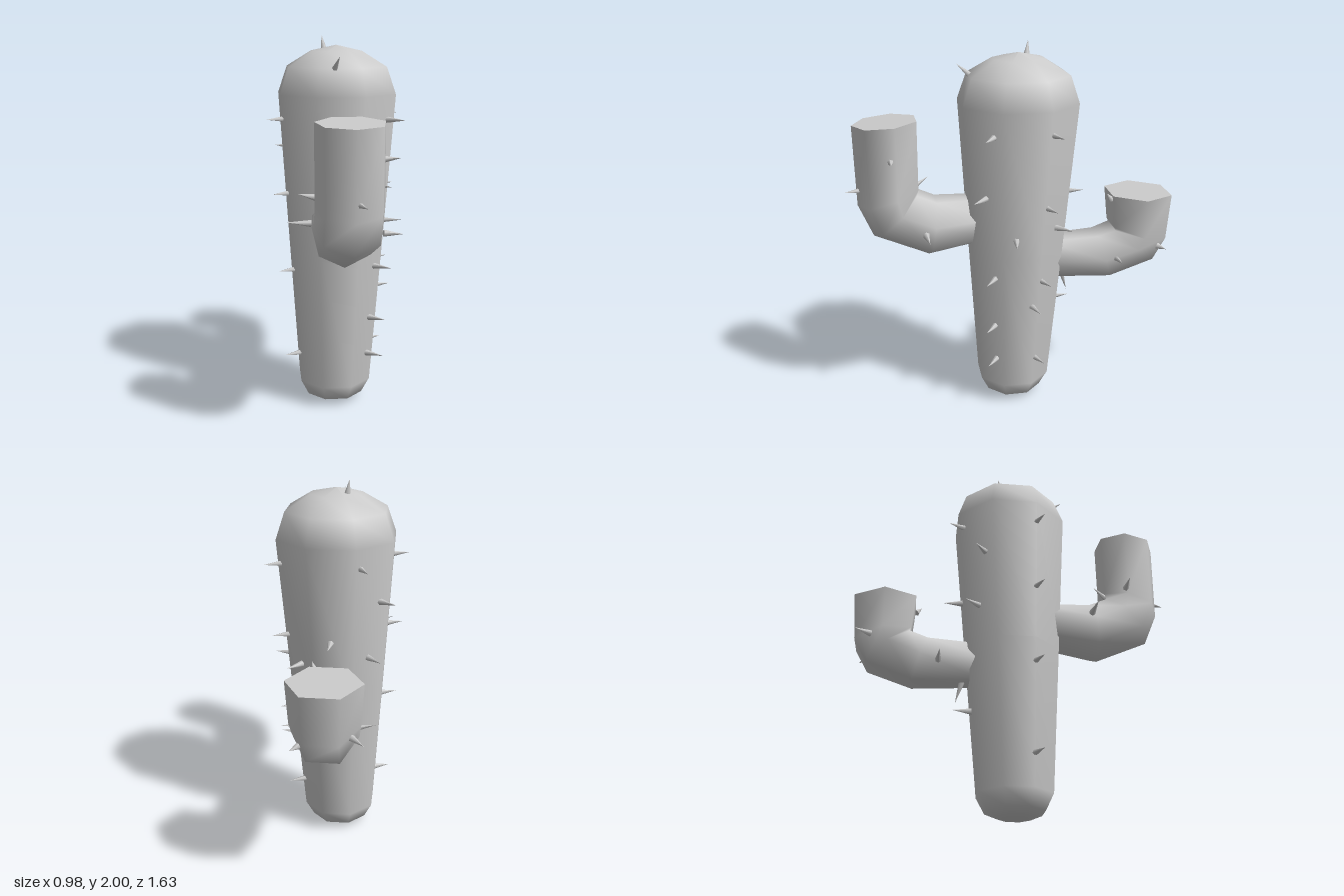
import * as THREE from 'three';

const material = new THREE.MeshStandardMaterial({ color: 0xcccccc });
const UP = new THREE.Vector3(0, 1, 0);

function addMesh(parent, geometry, name) {
  const mesh = new THREE.Mesh(geometry, material);
  mesh.name = name;
  parent.add(mesh);
  return mesh;
}

// Bent arm in a vertical plane; each ring is [distance out, height, tilt in degrees, radius]
function armGeometry(dir, rings, sides, phase) {
  const side = new THREE.Vector3().crossVectors(UP, dir);
  const pos = [], index = [];
  for (const [out, y, tilt, r] of rings) {
    const t = THREE.MathUtils.degToRad(tilt);
    const normal = dir.clone().multiplyScalar(-Math.sin(t)).addScaledVector(UP, Math.cos(t));
    const centre = dir.clone().multiplyScalar(out).addScaledVector(UP, y);
    for (let j = 0; j < sides; j++) {
      const a = phase + (j / sides) * Math.PI * 2;
      const p = centre.clone().addScaledVector(side, r * Math.cos(a)).addScaledVector(normal, r * Math.sin(a));
      pos.push(p.x, p.y, p.z);
    }
  }
  for (let i = 0; i < rings.length - 1; i++) {
    for (let j = 0; j < sides; j++) {
      const a = i * sides + j, b = i * sides + (j + 1) % sides;
      index.push(a, b, b + sides, a, b + sides, a + sides);
    }
  }
  // Flat end cap on its own vertices, so its rim stays sharp
  const first = pos.length / 3;
  pos.push(...pos.slice(-sides * 3));
  for (let j = 1; j < sides - 1; j++) index.push(first, first + j, first + j + 1);
  const g = new THREE.BufferGeometry();
  g.setAttribute('position', new THREE.Float32BufferAttribute(pos, 3));
  g.setIndex(index);
  g.computeVertexNormals();
  return g;
}

const spineGeometry = new THREE.ConeGeometry(0.018, 1, 6).translate(0, 0.5, 0);

function addSpine(parent, base, tip) {
  const dir = tip.clone().sub(base);
  const spine = addMesh(parent, spineGeometry, 'spine');
  spine.position.copy(base);
  spine.scale.y = dir.length();
  spine.quaternion.setFromUnitVectors(UP, dir.normalize());
}

export function createModel() {
  const cactus = new THREE.Group();
  cactus.name = 'cactus';

  // Eight-sided trunk with a domed top, leaning very slightly back
  const profile = [[0, 0], [0.09, 0.005], [0.16, 0.035], [0.205, 0.12], [0.265, 0.9],
    [0.325, 1.7], [0.275, 1.84], [0.14, 1.92], [0, 1.95]];
  const trunkGeometry = new THREE.LatheGeometry(profile.map(([r, y]) => new THREE.Vector2(r, y)), 8);
  const p = trunkGeometry.attributes.position;
  const lean = y => 0.025 - 0.02 * y;
  for (let i = 0; i < p.count; i++) {
    p.setXYZ(i, p.getX(i) + 0.015, p.getY(i), p.getZ(i) + lean(p.getY(i)));
  }
  addMesh(cactus, trunkGeometry, 'trunk');

  // Arms
  addMesh(cactus, armGeometry(new THREE.Vector3(0.41, 0, 0.91).normalize(),
    [[0.15, 1.07, 0, 0.13], [0.46, 1.045, 8, 0.165], [0.65, 1.13, 45, 0.17],
      [0.68, 1.23, 75, 0.17], [0.68, 1.62, 86, 0.17]], 7, -Math.PI / 2), 'frontArm');
  addMesh(cactus, armGeometry(new THREE.Vector3(-0.37, 0, -0.93).normalize(),
    [[0.15, 0.82, 0, 0.12], [0.48, 0.82, 18, 0.145], [0.65, 0.88, 50, 0.165],
      [0.68, 0.95, 75, 0.175], [0.68, 1.17, 88, 0.19]], 6, 0), 'backArm');

  // Spines around the trunk: [bearing from the front in degrees, height]
  const spines = new THREE.Group();
  spines.name = 'spines';
  cactus.add(spines);
  const trunkSpines = [
    [80, 1.575], [68, 1.24], [104, 1.02], [78, 0.79], [76, 0.5], [77, 0.29], [128, 0.62],
    [-45, 1.58], [-45, 1.19], [-45, 0.77], [-45, 0.29], [-102, 1.4],
    [138, 1.58], [138, 1.19], [138, 0.77], [138, 0.29],
    [-130, 1.6], [-115, 1.1], [-150, 0.55], [-160, 1.2], [160, 1.05],
  ];
  for (const [bearing, y] of trunkSpines) {
    const a = THREE.MathUtils.degToRad(bearing);
    const r = (0.195 + 0.076 * y) * 0.95;
    const at = d => new THREE.Vector3(0.015 + d * Math.sin(a), y, lean(y) + d * Math.cos(a));
    addSpine(spines, at(r - 0.01), at(r + 0.1));
  }

  // Spines on the dome and arms: base then tip
  const looseSpines = [
    [-0.06, 1.92, -0.04, -0.075, 2.0, -0.045],
    [0.075, 1.83, 0.22, 0.125, 1.9, 0.285],
    [0.41, 1.45, 0.55, 0.49, 1.455, 0.52],
    [0.38, 1.06, 0.39, 0.47, 1.05, 0.34],
    [0.12, 1.27, 0.64, 0.04, 1.29, 0.675],
    [0.34, 1.27, 0.73, 0.41, 1.27, 0.81],
    [0.03, 1.1, 0.46, -0.08, 1.11, 0.515],
    [0.19, 1.24, 0.53, 0.1, 1.29, 0.46],
    [-0.4, 0.92, -0.64, -0.49, 0.92, -0.69],
    [-0.26, 0.79, -0.31, -0.35, 0.81, -0.27],
    [-0.08, 0.83, -0.54, 0.02, 0.84, -0.59],
    [-0.18, 0.88, -0.76, -0.16, 0.87, -0.81],
    [-0.13, 1.15, -0.5, -0.1, 1.19, -0.48],
    [-0.1, 0.73, -0.23, -0.11, 0.6, -0.265],
  ];
  for (const s of looseSpines) {
    addSpine(spines, new THREE.Vector3(...s.slice(0, 3)), new THREE.Vector3(...s.slice(3)));
  }
  return cactus;
}
